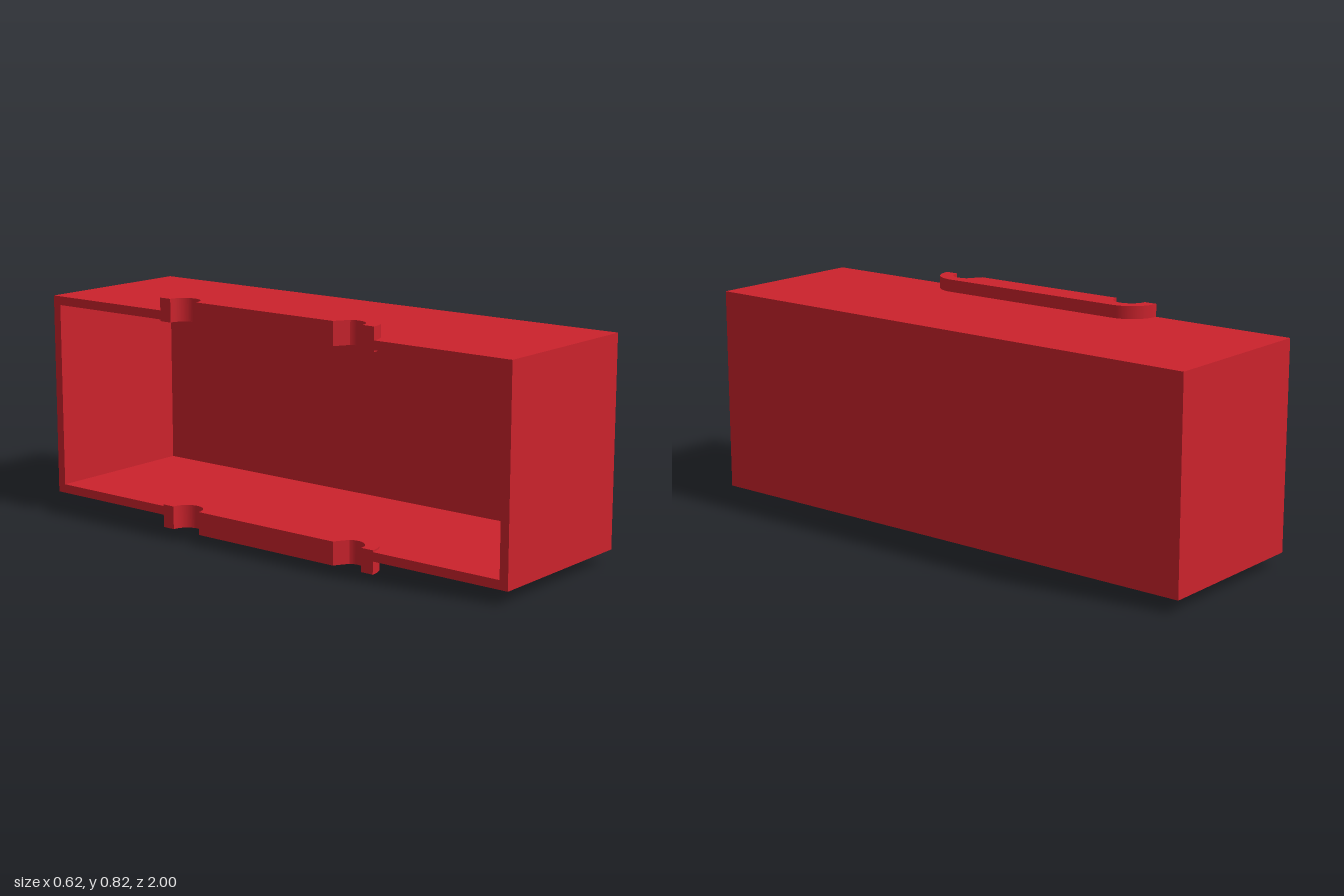
import * as THREE from 'three';

const HALF_X = 0.308, Y0 = 0.045, Y1 = 0.78, TOP = 0.825;
const WALL = 0.032, TAB = 0.083;            // wall and tab thickness
const CZ = 0.361, R_TAB = 0.108, R_HOLE = 0.06;
const Q = Math.PI / 2;

// Extrudes an x/z outline downwards from the height yTop
function slab(shape, yTop, depth) {
  const geo = new THREE.ExtrudeGeometry(shape, { depth, bevelEnabled: false, curveSegments: 20 });
  return geo.rotateX(Q).translate(0, yTop, 0);
}

// Long tab with rounded outer corners and two half-round notches in its open edge
function tabShape() {
  const s = new THREE.Shape();
  s.moveTo(-HALF_X, -CZ - R_TAB);
  s.absarc(-HALF_X, -CZ, R_TAB, -Q, 0, false);
  s.absarc(-HALF_X, CZ, R_TAB, 0, Q, false);
  s.lineTo(-HALF_X, CZ + R_HOLE);
  s.absarc(-HALF_X, CZ, R_HOLE, Q, -Math.PI / 6, true);
  s.lineTo(-HALF_X, CZ - R_HOLE);           // straight cut at the front notch
  s.lineTo(-HALF_X, -CZ + R_HOLE);
  s.absarc(-HALF_X, -CZ, R_HOLE, Q, -Q, true);
  s.closePath();
  return s;
}

// Top or bottom wall with a recess that receives the tab
function wallShape() {
  const s = new THREE.Shape();
  s.moveTo(-HALF_X, -1);
  s.lineTo(HALF_X, -1);
  s.lineTo(HALF_X, 1);
  s.lineTo(-HALF_X, 1);
  s.lineTo(-HALF_X, CZ + R_TAB);
  s.absarc(-HALF_X, CZ, R_TAB, Q, 0, true);
  s.absarc(-HALF_X, -CZ, R_TAB, 0, -Q, true);
  s.closePath();
  return s;
}

export function createModel() {
  const group = new THREE.Group();
  const red = new THREE.MeshStandardMaterial({ color: 0xcc222c });
  red.name = 'red';

  const add = (name, geo) => {
    const mesh = new THREE.Mesh(geo, red);
    mesh.name = name;
    group.add(mesh);
    return mesh;
  };

  // Housing, open on the -x side
  add('topWall', slab(wallShape(), Y1, WALL));
  add('bottomWall', slab(wallShape(), Y0 + WALL, WALL));

  const innerH = Y1 - Y0 - 2 * WALL, midY = (Y0 + Y1) / 2;
  for (const [name, side] of [['frontWall', 1], ['backWall', -1]]) {
    add(name, new THREE.BoxGeometry(2 * HALF_X, innerH, WALL))
      .position.set(0, midY, side * (1 - WALL / 2));
  }
  add('sideWall', new THREE.BoxGeometry(WALL, innerH, 2 - 2 * WALL))
    .position.set(HALF_X - WALL / 2, midY, 0);

  // Mounting tabs
  add('topTab', slab(tabShape(), TOP, TAB));
  add('bottomTab', slab(tabShape(), TAB, TAB));

  return group;
}
